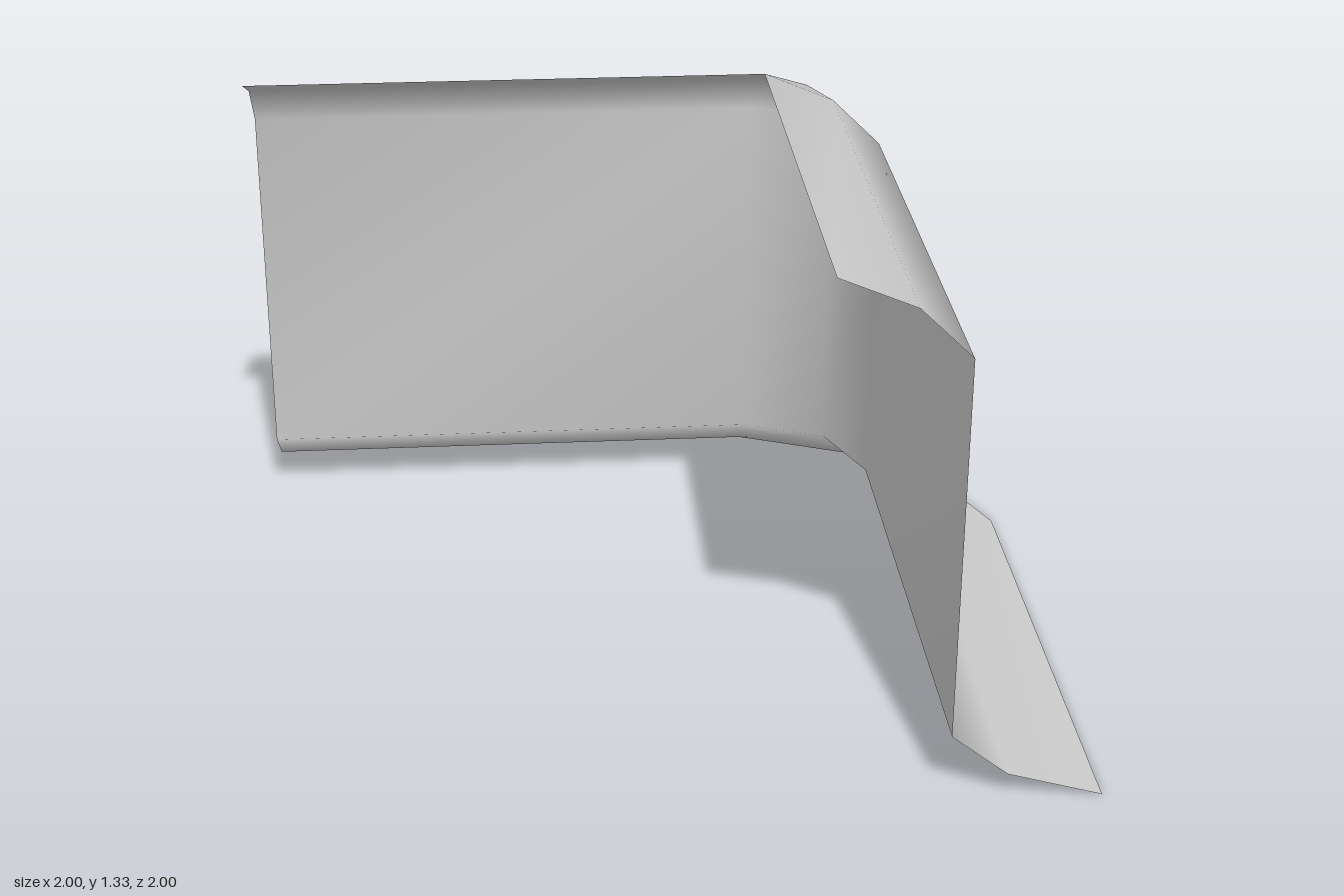
import * as THREE from 'three';
import { mergeVertices } from 'three/addons/utils/BufferGeometryUtils.js';

const INNER = 1 / 3; // inner corner sits at x = INNER, z = -INNER

// Cross-section: [distance outward from the inner edge, height]
const PROFILE = [
  [0, 1.333], [0.18, 1.257], [0.304, 1.135],
  [0.304, 0.175], [0.44, 0.067], [0.667, 0],
];

// Stations along the bend: [x, z, outward angle from -z toward +x]
const STATIONS = [
  [-1, -INNER, 0],
  [INNER, -INNER, 0],
  [INNER, -INNER, Math.PI / 4],
  [INNER, -INNER, Math.PI / 2],
  [INNER, 1, Math.PI / 2],
];

// Sweep the cross-section around the corner as one smooth sheet
function sweptSheet() {
  const positions = [];
  const indices = [];
  const n = PROFILE.length;
  for (const [x, z, angle] of STATIONS) {
    for (const [d, y] of PROFILE) {
      positions.push(x + d * Math.sin(angle), y, z - d * Math.cos(angle));
    }
  }
  for (let i = 0; i < STATIONS.length - 1; i++) {
    for (let j = 0; j < n - 1; j++) {
      const a = i * n + j;
      const b = a + n;
      // the top edge meets in a single point at the corner
      const pinched = j === 0 && (i === 1 || i === 2);
      if (!pinched) indices.push(a, b, a + 1);
      indices.push(b, b + 1, a + 1);
    }
  }
  const geometry = new THREE.BufferGeometry();
  geometry.setAttribute('position', new THREE.Float32BufferAttribute(positions, 3));
  geometry.setIndex(indices);
  const merged = mergeVertices(geometry, 1e-4);
  merged.computeVertexNormals();
  return merged;
}

export function createModel() {
  const group = new THREE.Group();
  group.name = 'cornerWall';

  const grey = new THREE.MeshStandardMaterial({ color: 0xcccccc, side: THREE.DoubleSide });
  grey.name = 'light grey';

  const wall = new THREE.Mesh(sweptSheet(), grey);
  wall.name = 'curvedCornerSheet';
  group.add(wall);
  return group;
}
